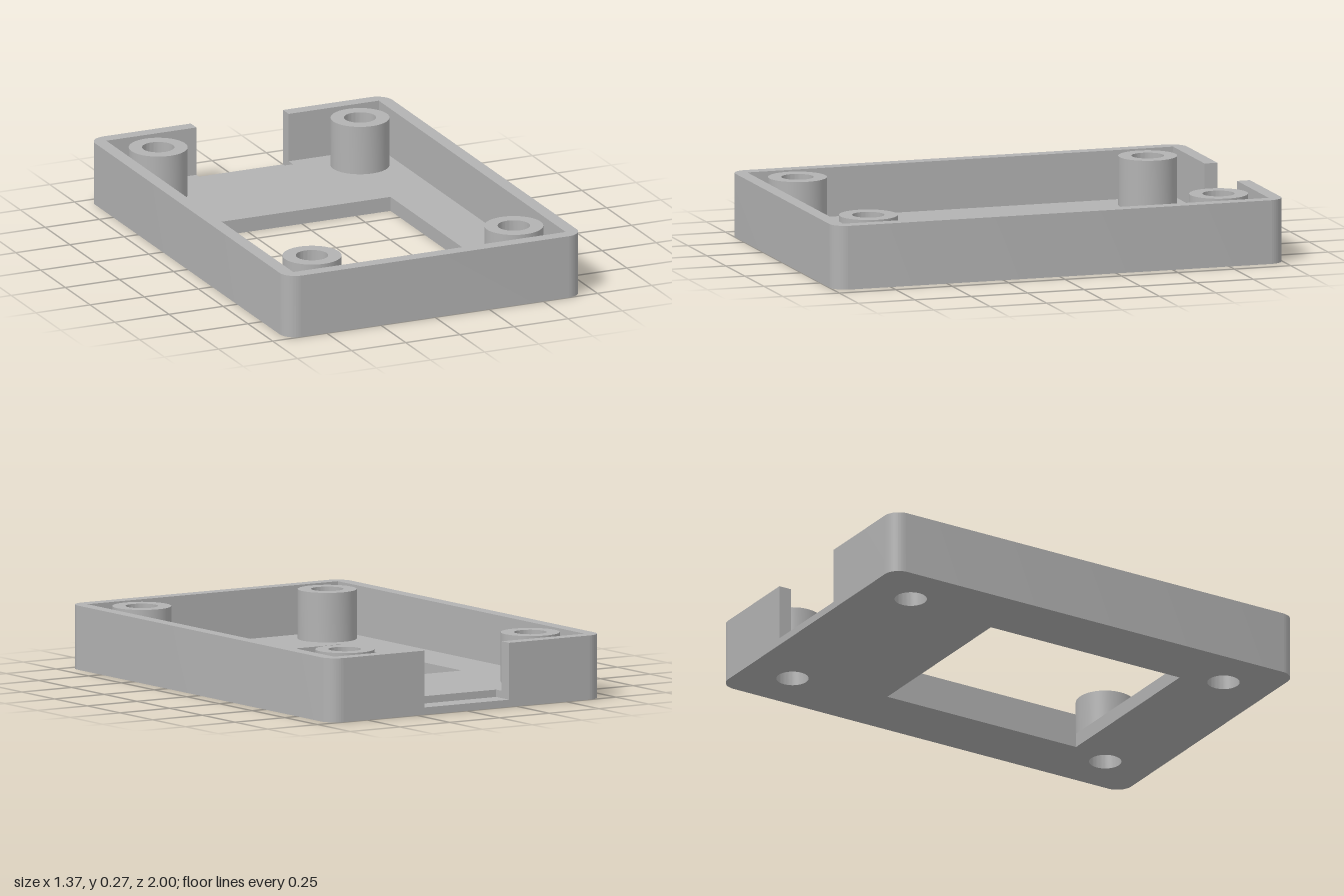
import * as THREE from 'three';
import { toCreasedNormals } from 'three/addons/utils/BufferGeometryUtils.js';

const W = 0.686, L = 1, H = 0.272, R = 0.07;   // outer half width, half length, height, corner radius
const IW = 0.629, IL = 0.943;                  // inner half width and half length
const FLOOR = 0.062, SILL = 0.031;             // floor and sill thickness
const GAP = 0.213, CUT = 0.9;                  // notch half width and inner edge
const BOSS_X = 0.466, BOSS_Z = 0.776, BOSS_R = 0.124, HOLE_R = 0.068;

export function createModel() {
  const grey = new THREE.MeshStandardMaterial({ color: 0xb2b2b2 });
  grey.name = 'grey plastic';
  const group = new THREE.Group();
  group.name = 'enclosureHalf';

  // Extrudes a plan shape (shape y points to the back) upwards from y0 to y1
  const addPlan = (name, shape, y0, y1, x = 0, z = 0) => {
    let geo = new THREE.ExtrudeGeometry(shape, { depth: y1 - y0, bevelEnabled: false, curveSegments: 32 });
    geo.rotateX(-Math.PI / 2);
    geo = toCreasedNormals(geo, 0.6);
    const mesh = new THREE.Mesh(geo, grey);
    mesh.name = name;
    mesh.position.set(x, y0, z);
    group.add(mesh);
  };
  const polygon = (pts) => new THREE.Shape(pts.map(([x, y]) => new THREE.Vector2(x, y)));
  const circle = (Type, x, y, r) => new Type().absarc(x, y, r, 0, Math.PI * 2);

  // Rim wall: rounded outside, square inside, open at the notch
  const wall = new THREE.Shape();
  wall.moveTo(-GAP, L);
  wall.lineTo(-W + R, L);
  wall.absarc(-W + R, L - R, R, Math.PI / 2, Math.PI);
  wall.absarc(-W + R, -L + R, R, Math.PI, Math.PI * 1.5);
  wall.absarc(W - R, -L + R, R, Math.PI * 1.5, Math.PI * 2);
  wall.absarc(W - R, L - R, R, 0, Math.PI / 2);
  [[GAP, L], [GAP, IL], [IW, IL], [IW, -IL], [-IW, -IL], [-IW, IL], [-GAP, IL]]
    .forEach(([x, y]) => wall.lineTo(x, y));
  wall.closePath();
  addPlan('rimWall', wall, 0, H);

  // Floor with a window and four screw holes
  const floor = polygon([[-IW, -IL], [IW, -IL], [IW, IL], [GAP, IL], [GAP, CUT], [-GAP, CUT], [-GAP, IL], [-IW, IL]]);
  floor.holes.push(polygon([[-0.408, -0.595], [-0.408, 0.342], [0.408, 0.342], [0.408, -0.595]]));

  // Hollow screw posts
  const ring = circle(THREE.Shape, 0, 0, BOSS_R);
  ring.holes.push(circle(THREE.Path, 0, 0, HOLE_R));
  for (const sx of [-1, 1]) for (const sz of [-1, 1]) {
    floor.holes.push(circle(THREE.Path, sx * BOSS_X, -sz * BOSS_Z, HOLE_R));
    addPlan('screwPost', ring, FLOOR, H, sx * BOSS_X, sz * BOSS_Z);
  }
  addPlan('floor', floor, 0, FLOOR);

  // Lowered sill in the rear notch
  addPlan('notchSill', polygon([[-GAP, CUT], [GAP, CUT], [GAP, L], [-GAP, L]]), 0, SILL);

  return group;
}
